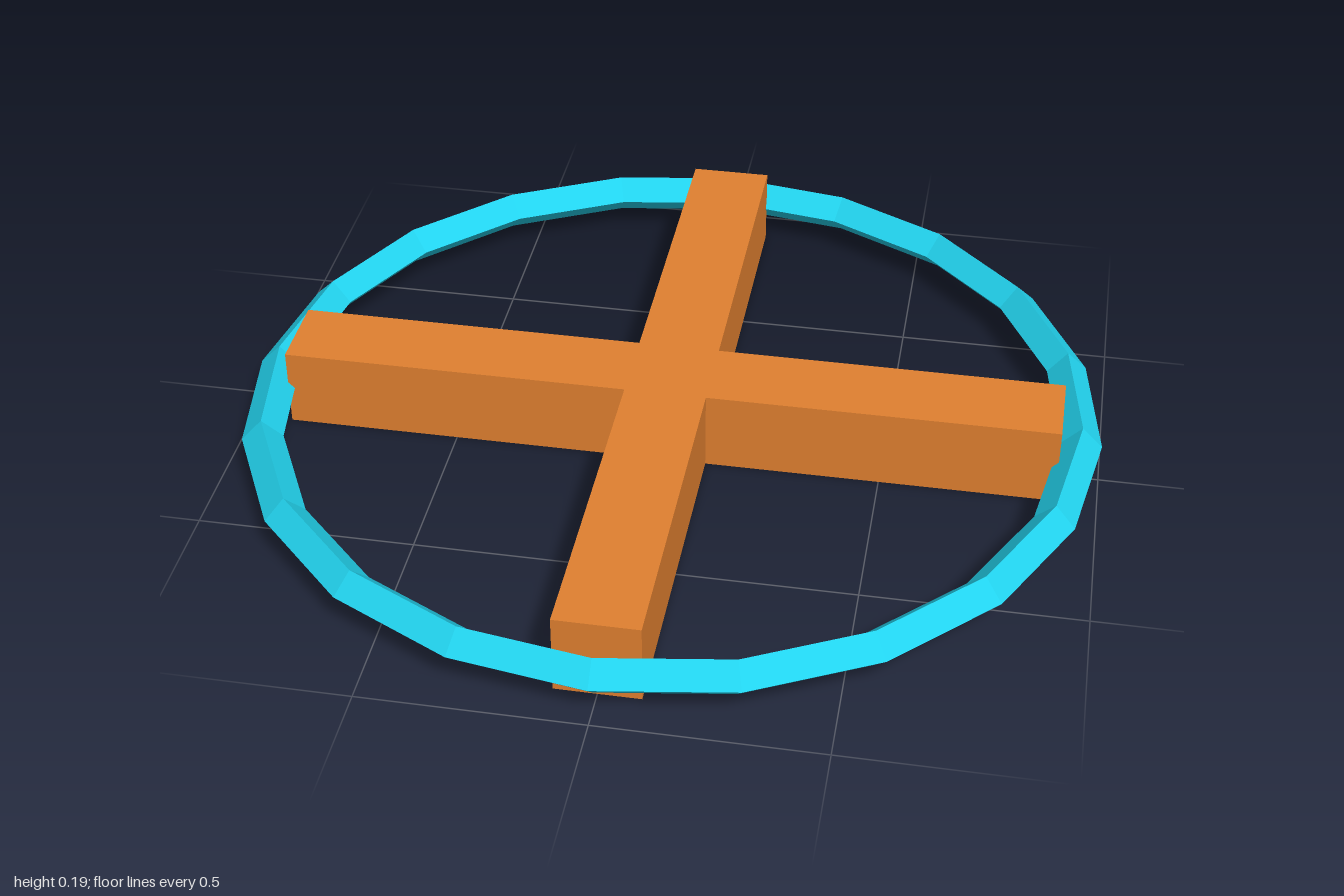
import * as THREE from 'three';

const HEIGHT = 0.19;   // beam thickness
const HALF_W = 0.095;  // half of beam width
const REACH = 0.905;   // half of beam length

export function createModel() {
  const model = new THREE.Group();
  const orange = new THREE.MeshStandardMaterial({ color: 0xe08030, flatShading: true });
  const cyan = new THREE.MeshStandardMaterial({ color: 0x22d3ee, flatShading: true });

  // Crossed spokes as one solid: three corners per arm, turned four times
  const outline = [];
  for (let i = 0; i < 4; i++) {
    const corners = [[REACH, -HALF_W], [REACH, HALF_W], [HALF_W, HALF_W]];
    for (const [x, y] of corners) {
      outline.push(new THREE.Vector2(x, y).rotateAround(new THREE.Vector2(), i * Math.PI / 2));
    }
  }
  const crossGeometry = new THREE.ExtrudeGeometry(new THREE.Shape(outline), {
    depth: HEIGHT, bevelEnabled: false,
  });
  crossGeometry.rotateX(-Math.PI / 2);
  const spokes = new THREE.Mesh(crossGeometry, orange);
  spokes.name = 'crossSpokes';
  model.add(spokes);

  // Twenty-sided rim with a diamond cross-section
  const rimGeometry = new THREE.TorusGeometry(0.9524, 0.0476, 4, 20);
  rimGeometry.rotateX(-Math.PI / 2);
  const rim = new THREE.Mesh(rimGeometry, cyan);
  rim.name = 'rim';
  rim.position.y = HEIGHT / 2;
  model.add(rim);

  return model;
}
